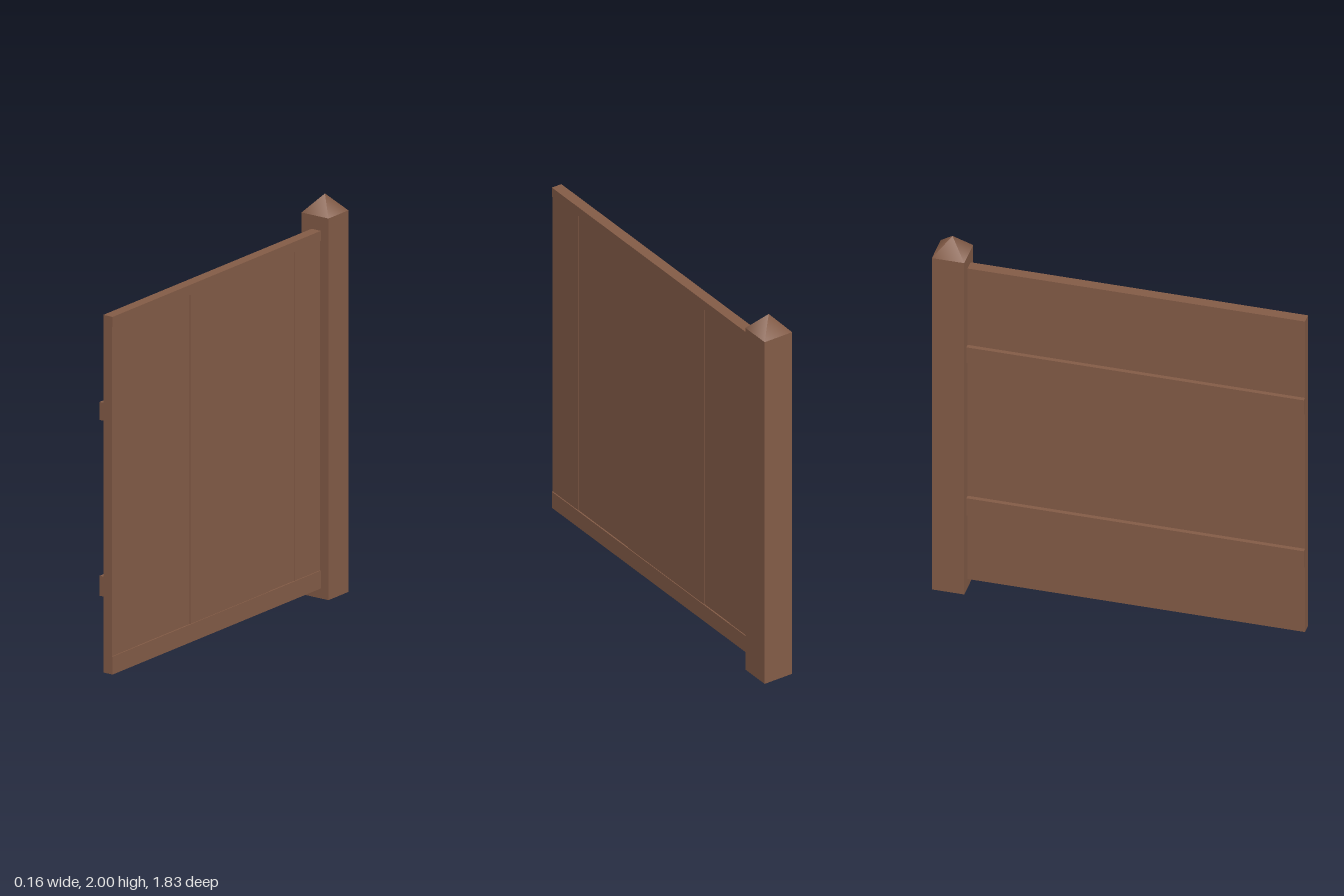
import * as THREE from 'three';

export function createModel() {
  const group = new THREE.Group();
  group.name = 'fencePanel';
  const wood = new THREE.MeshStandardMaterial({ color: 0x845c47 });
  wood.name = 'brownWood';

  const add = (name, geometry, x = 0, y = 0, z = 0) => {
    const mesh = new THREE.Mesh(geometry, wood);
    mesh.name = name;
    mesh.position.set(x, y, z);
    group.add(mesh);
    return mesh;
  };
  // Box given by its lower and upper limits on each axis
  const box = (name, [x0, x1], [y0, y1], [z0, z1]) =>
    add(name, new THREE.BoxGeometry(x1 - x0, y1 - y0, z1 - z0),
      (x0 + x1) / 2, (y0 + y1) / 2, (z0 + z1) / 2);

  // Square post with a pointed cap
  const postZ = -0.835, half = 0.08;
  box('post', [-half, half], [0, 1.91], [postZ - half, postZ + half]);
  const cap = new THREE.ConeGeometry(half * Math.SQRT2, 0.09, 4);
  cap.rotateY(Math.PI / 4);
  add('postCap', cap, 0, 1.955, postZ);

  // Top and bottom boards, standing slightly proud of the planks
  const back = -0.02, front = -0.76, end = 0.915;
  box('topBoard', [back, 0.035], [1.79, 1.84], [front, end]);
  box('bottomBoard', [back, 0.035], [0.05, 0.14], [front, end]);

  // Vertical planks with slightly uneven faces
  const faces = [0.03, 0.028, 0.028, 0.031, 0.031, 0.031, 0.028, 0.03];
  const width = (end - front) / faces.length;
  faces.forEach((face, i) => {
    const z = end - i * width;
    box(`plank${i + 1}`, [back, face], [0.14, 1.79], [z - width, z]);
  });

  // Horizontal rails on the rear face
  box('lowerRail', [-0.042, back], [0.43, 0.53], [front, end]);
  box('upperRail', [-0.042, back], [1.31, 1.4], [front, end]);

  return group;
}
